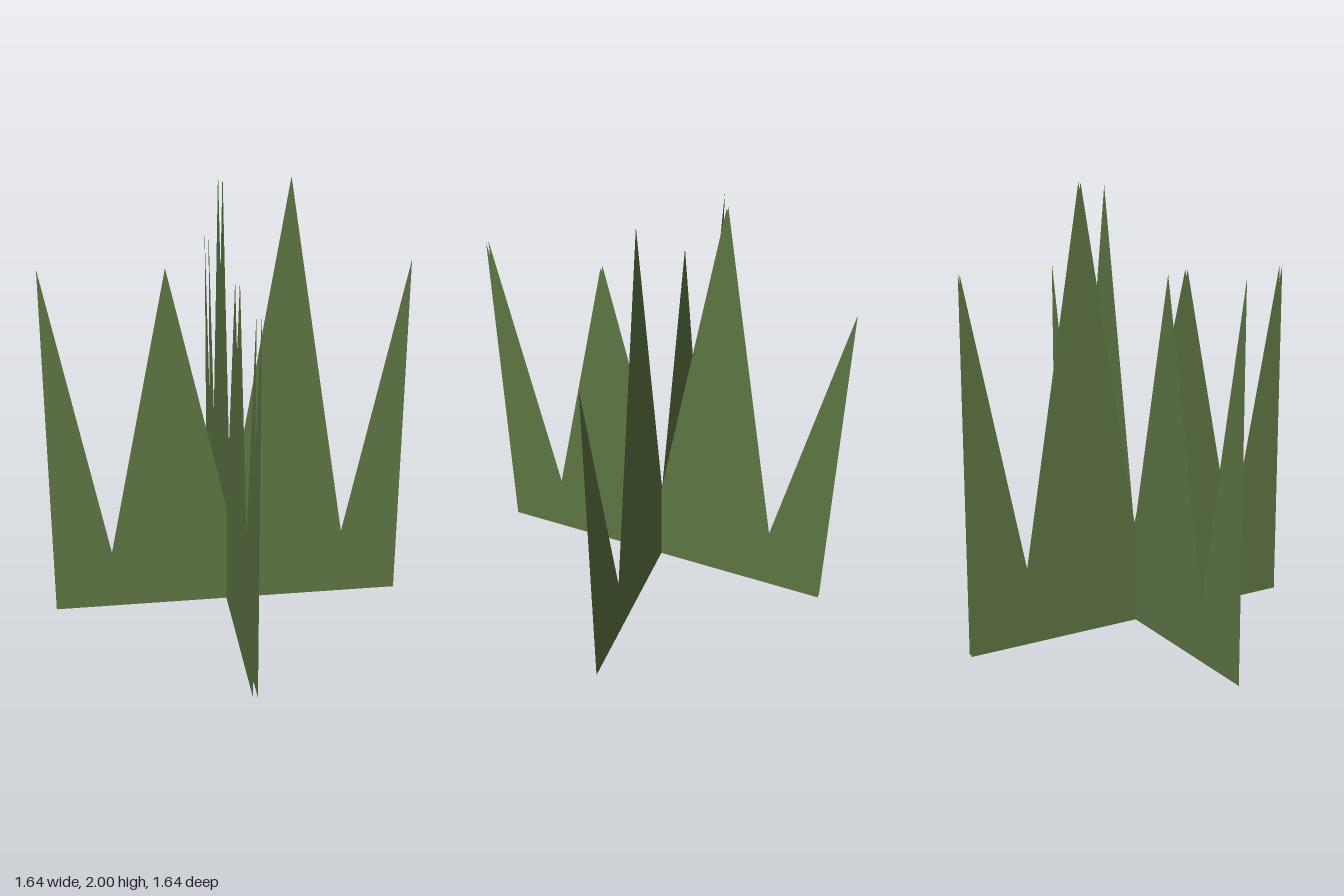
import * as THREE from 'three';

// Crossed, paper-thin grass blades sharing one jagged outline
export function createModel() {
  const group = new THREE.Group();
  group.name = 'grassTuft';
  const material = new THREE.MeshStandardMaterial({ color: 0x5e7544, side: THREE.DoubleSide });

  // Outline: flat base, spikes and notches along the top
  const outline = [
    [-0.82, 0], [0.82, 0], [0.82, 1.63], [0.545, 0.32], [0.27, 2],
    [0, 0.44], [-0.275, 1.62], [-0.55, 0.28], [-0.82, 1.63],
  ].map(([x, y]) => new THREE.Vector2(x, y));
  const geometry = new THREE.ShapeGeometry(new THREE.Shape(outline));

  const addSheet = (name, turn, x) => {
    const sheet = new THREE.Mesh(geometry, material);
    sheet.name = name;
    sheet.rotation.y = turn;
    sheet.position.x = x;
    group.add(sheet);
  };

  // One sheet across, and a close pair of sheets running front to back
  addSheet('crossBlades', 0, 0);
  addSheet('lengthBladesLeft', Math.PI / 2, 0.01);
  addSheet('lengthBladesRight', Math.PI / 2, -0.01);
  return group;
}
